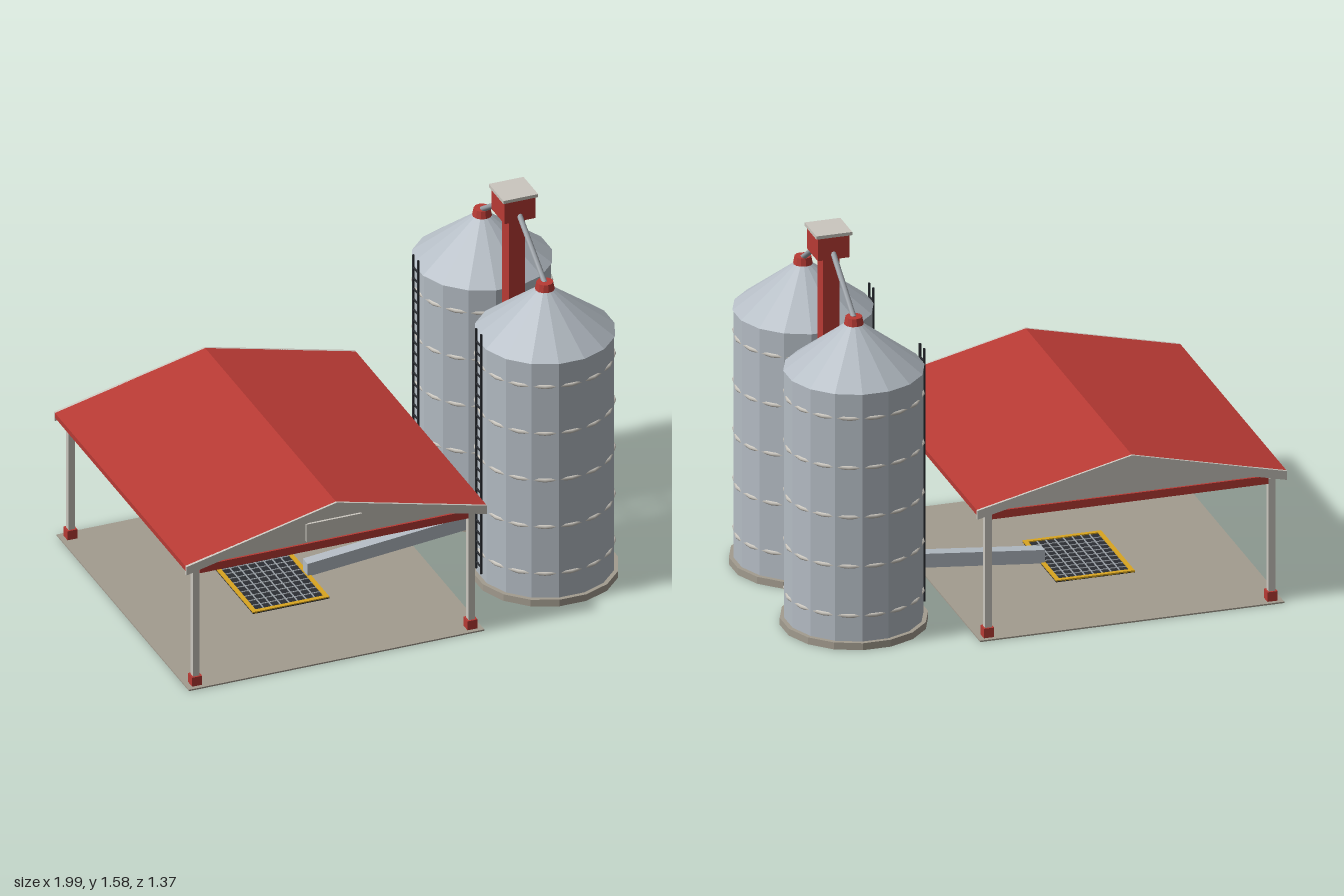
import * as THREE from 'three';

const mat = (name, color) => {
  const m = new THREE.MeshStandardMaterial({ color });
  m.name = name;
  return m;
};

export function createModel() {
  const red = mat('barn red', 0xb83a34);
  const trim = mat('warm grey trim', 0xcbc7bf);
  const steel = mat('galvanised steel', 0xb4bcc4);
  const pipe = mat('pipe grey', 0x9aa0a6);
  const concrete = mat('concrete', 0xa39c8f);
  const dark = mat('dark iron', 0x2b2e33);
  const yellow = mat('safety yellow', 0xd9a520);

  const model = new THREE.Group();
  model.name = 'grainStation';

  const group = (name, parent = model) => {
    const g = new THREE.Group();
    g.name = name;
    parent.add(g);
    return g;
  };
  const add = (parent, name, geo, material, x = 0, y = 0, z = 0) => {
    const m = new THREE.Mesh(geo, material);
    m.name = name;
    m.position.set(x, y, z);
    parent.add(m);
    return m;
  };
  const box = (parent, name, material, w, h, d, x, y, z) =>
    add(parent, name, new THREE.BoxGeometry(w, h, d), material, x, y, z);
  // Faceted geometry with one normal per face
  const flat = (geo) => {
    const g = geo.toNonIndexed();
    g.computeVertexNormals();
    return g;
  };
  // Sixteen-sided drum with a flat facing each axis
  const drum = (rTop, rBottom, h, open = false) =>
    flat(new THREE.CylinderGeometry(rTop, rBottom, h, 16, 1, open).rotateY(Math.PI / 16));
  // Outline in x and y, extruded along z about its middle
  const extrude = (points, depth) =>
    new THREE.ExtrudeGeometry(new THREE.Shape(points.map(([x, y]) => new THREE.Vector2(x, y))),
      { depth, bevelEnabled: false }).translate(0, 0, -depth / 2);
  // Round pipe between two points
  const tube = (parent, name, a, b, r, material) => {
    const d = new THREE.Vector3().subVectors(b, a);
    const m = add(parent, name, new THREE.CylinderGeometry(r, r, d.length(), 8), material);
    m.position.copy(a).addScaledVector(d, 0.5);
    m.quaternion.setFromUnitVectors(new THREE.Vector3(0, 1, 0), d.normalize());
  };

  // ---- Open shed, centred on x = -0.35 ----
  const shed = group('shed');
  shed.position.x = -0.35;
  box(shed, 'floorSlab', concrete, 1.276, 0.006, 1.37, 0, 0.003, 0);

  const chevron = (t) => [[-0.65, 0.57 - t], [0, 0.725 - t], [0.65, 0.57 - t],
    [0.65, 0.57], [0, 0.725], [-0.65, 0.57]];
  add(shed, 'roof', extrude(chevron(0.022), 1.352), red);
  for (const s of [-1, 1]) {
    add(shed, 'gableFascia', extrude(chevron(0.038), 0.012), trim, 0, 0, s * 0.68);
    add(shed, 'gablePanel', extrude([[-0.58, 0.546], [0.58, 0.546], [0, 0.69]], 0.012),
      trim, 0, 0, s * 0.645);
    box(shed, 'gableBeam', red, 1.16, 0.034, 0.03, 0, 0.531, s * 0.645);
    box(shed, 'eaveBeam', red, 0.03, 0.034, 1.26, s * 0.595, 0.531, 0);
    for (const t of [-1, 1]) {
      box(shed, 'post', trim, 0.028, 0.53, 0.028, s * 0.595, 0.271, t * 0.645);
      box(shed, 'postFoot', red, 0.043, 0.042, 0.043, s * 0.595, 0.026, t * 0.645);
    }
  }
  box(shed, 'gableVent', trim, 0.24, 0.08, 0.012, 0, 0.597, 0.655);

  // ---- Receiving pit with grating ----
  const pit = group('pit');
  pit.position.x = -0.35;
  const px = 0.33, pz = 0.43;
  box(pit, 'pitFloor', dark, px, 0.004, pz, 0, 0.008, 0);
  for (const s of [-1, 1]) {
    box(pit, 'frameSide', yellow, 0.018, 0.009, pz, s * (px / 2 - 0.009), 0.0105, 0);
    box(pit, 'frameEnd', yellow, px, 0.009, 0.018, 0, 0.0105, s * (pz / 2 - 0.009));
  }
  for (let i = 1; i < 8; i++)
    box(pit, 'gratingBar', pipe, 0.005, 0.003, pz - 0.036, (i / 8 - 0.5) * (px - 0.036), 0.0115, 0);
  for (let i = 1; i < 10; i++)
    box(pit, 'gratingCrossBar', pipe, px - 0.036, 0.003, 0.005, 0, 0.011, (i / 10 - 0.5) * (pz - 0.036));

  // ---- Sloping conveyor from pit to elevator ----
  add(model, 'conveyor', extrude([[-0.2, 0.01], [0.69, 0.095], [0.69, 0.156], [-0.2, 0.068]], 0.05), steel);

  // ---- Silos ----
  for (const z of [0.325, -0.325]) {
    const silo = group('silo');
    silo.position.set(0.7, 0, z);
    add(silo, 'base', drum(0.298, 0.298, 0.03), concrete, 0, 0.015);
    add(silo, 'wall', drum(0.28, 0.28, 1.07, true), steel, 0, 0.565);
    add(silo, 'coneRoof', drum(0.036, 0.284, 0.19), steel, 0, 1.195);
    add(silo, 'capLower', flat(new THREE.CylinderGeometry(0.034, 0.04, 0.032, 12)), red, 0, 1.306);
    for (let i = 0; i < 5; i++)
      add(silo, 'band', new THREE.TorusGeometry(0.275, 0.009, 6, 16).rotateX(Math.PI / 2),
        trim, 0, 0.14 + i * 0.2135);

    // Ladder on the shed side
    const ladder = group('ladder', silo);
    ladder.position.x = -0.286;
    for (const s of [-1, 1])
      box(ladder, 'rail', dark, 0.008, 1.095, 0.008, 0, 0.6075, s * 0.026);
    for (let y = 0.09; y < 1.14; y += 0.048)
      box(ladder, 'rung', dark, 0.006, 0.006, 0.052, 0, y, 0);
  }

  // ---- Bucket elevator with a spout to each silo ----
  const elevator = group('elevator');
  elevator.position.x = 0.7;
  box(elevator, 'leg', red, 0.07, 1.47, 0.072, 0, 0.735, 0);
  box(elevator, 'head', red, 0.134, 0.097, 0.136, 0, 1.513, 0);
  box(elevator, 'headLid', trim, 0.15, 0.014, 0.152, 0, 1.569, 0);
  for (const s of [-1, 1])
    tube(elevator, 'spout', new THREE.Vector3(0, 1.493, s * 0.055),
      new THREE.Vector3(0, 1.315, s * 0.325), 0.012, pipe);

  return model;
}
